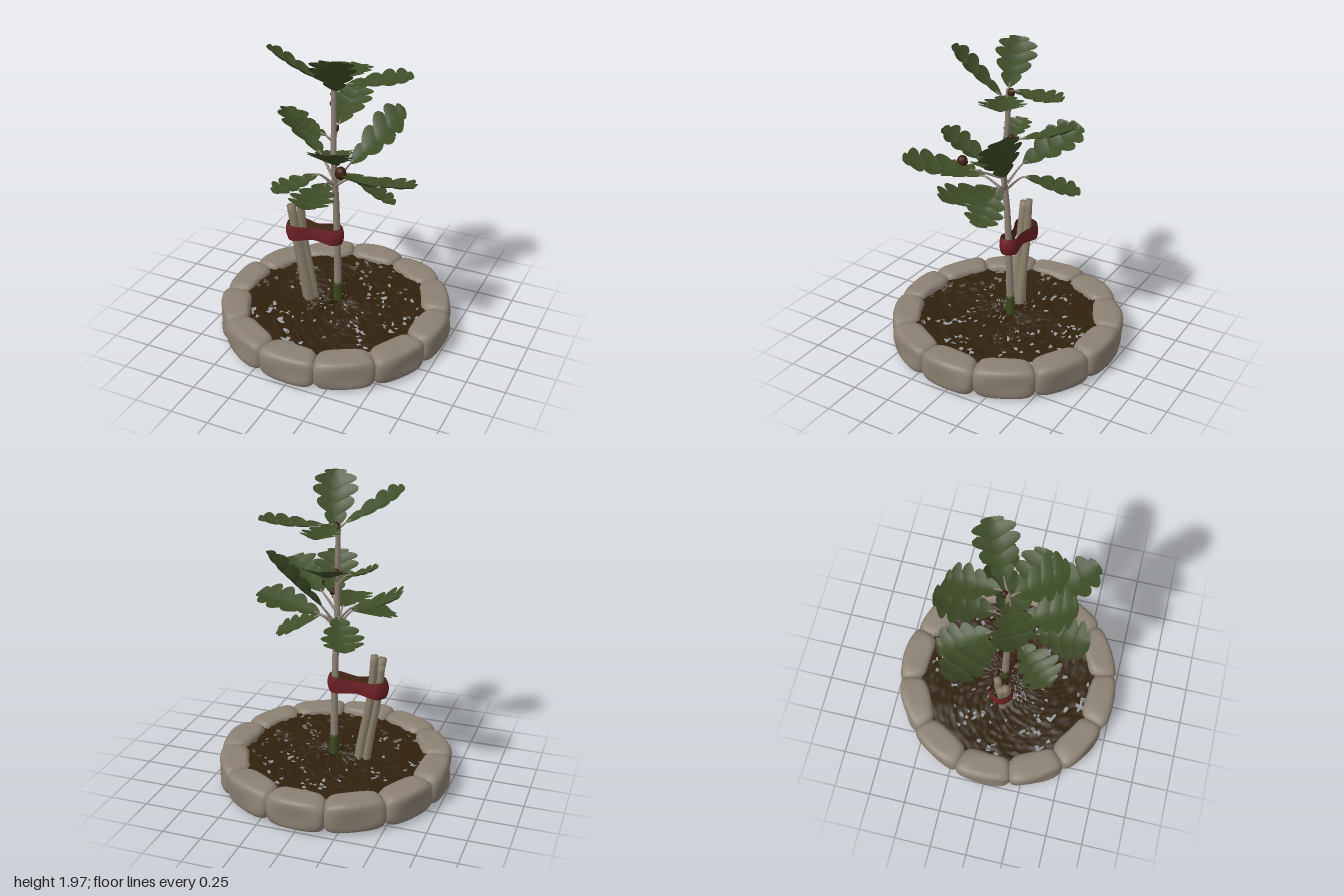
import * as THREE from 'three';
import { mergeVertices } from 'three/addons/utils/BufferGeometryUtils.js';

const mat = (name, color, both = false) => {
  const m = new THREE.MeshStandardMaterial({ color, side: both ? THREE.DoubleSide : THREE.FrontSide });
  m.name = name;
  return m;
};
const V = (p) => new THREE.Vector3(...p);

function seeded(seed) {
  let s = seed;
  return () => (s = (s * 16807) % 2147483647) / 2147483647;
}

// Sheet of quads from a rule (u, v) -> [x, y, z]; some cells can be left out
function sheet(nu, nv, rule, skip = () => false) {
  const pos = [], idx = [];
  for (let i = 0; i <= nu; i++) for (let j = 0; j <= nv; j++) pos.push(...rule(i / nu, j / nv));
  for (let i = 0; i < nu; i++) for (let j = 0; j < nv; j++) {
    if (skip(i / nu, j / nv)) continue;
    const a = i * (nv + 1) + j, b = a + nv + 1;
    idx.push(a, a + 1, b, b, a + 1, b + 1);
  }
  const g = new THREE.BufferGeometry();
  g.setAttribute('position', new THREE.Float32BufferAttribute(pos, 3));
  g.setIndex(idx);
  const m = mergeVertices(g, 1e-5);
  m.computeVertexNormals();
  return m;
}

// Tapered tube through points, closed at both ends
function limb(points, r0, r1, sides = 8, n = 18) {
  const curve = new THREE.CatmullRomCurve3(points.map(V));
  const g = new THREE.TubeGeometry(curve, n, 1, sides);
  const p = g.attributes.position, v = new THREE.Vector3();
  for (let i = 0; i <= n; i++) {
    const end = i === 0 || i === n;
    const from = curve.getPointAt(i / n);
    const to = curve.getPointAt(i === 0 ? 1 / n : i === n ? 1 - 1 / n : i / n);
    const r = end ? 0 : THREE.MathUtils.lerp(r0, r1, i / n);
    for (let j = 0; j <= sides; j++) {
      const k = i * (sides + 1) + j;
      v.fromBufferAttribute(p, k).sub(from).multiplyScalar(r).add(to);
      p.setXYZ(k, v.x, v.y, v.z);
    }
  }
  g.computeVertexNormals();
  return g;
}

// Leaf along +z with round lobes, broadest past the middle, slightly sagging
function leafGeometry(length, width) {
  return sheet(60, 6, (u, v) => {
    const s = v * 2 - 1, a = Math.abs(s);
    const body = Math.sqrt(Math.max(0, Math.sin(Math.PI * Math.pow(u, 1.4))));
    const lobes = u > 0.89 ? 0.5 + 0.5 * Math.sqrt(Math.min(1, (u - 0.89) * 14)) : 0.5 + 0.5 * Math.sqrt(Math.abs(Math.sin(u * Math.PI * 4.5)));
    const w = width * (body * lobes + 0.02);
    return [
      s * w,
      -0.012 * Math.sin(Math.PI * u) + (0.3 * a - 0.1) * w,
      length * (u + 0.09 * a * Math.sin(Math.PI * u)),
    ];
  });
}

// Stone: rounded wedge filling one slice of the ring
function stoneGeometry(rand) {
  const box = new THREE.BoxGeometry(2, 2, 2, 10, 8, 8);
  box.deleteAttribute('uv');
  box.deleteAttribute('normal');
  const g = mergeVertices(box);
  const p = g.attributes.position;
  const f = rand() * 6, h = 0.098 + rand() * 0.005, tilt = (rand() - 0.5) * 0.02;
  for (let i = 0; i < p.count; i++) {
    const x = p.getX(i), y = p.getY(i), z = p.getZ(i);
    const k = Math.pow(Math.abs(x) ** 5 + Math.abs(y) ** 5 + Math.abs(z) ** 5, -1 / 5);
    const X = x * k, Y = y * k, Z = z * k;
    const bump = 0.007 * Math.sin(3 * X + f) * Math.cos(2.5 * Y + 2 * Z + f);
    const r = 0.66 + Z * 0.098 - (Z > 0 ? 0.025 * X * X : 0) + tilt * X + bump;
    p.setXYZ(i, X * r * Math.tan(Math.PI / 12) * 1.04, 0.122 + Y * h + bump * 0.6, r);
  }
  g.computeVertexNormals();
  return g;
}

export function createModel() {
  const root = new THREE.Group();
  const stone = mat('stone', 0x8b8072), soilMat = mat('soil', 0x30210d, true);
  const bark = mat('bark', 0x8c8074), wood = mat('stake wood', 0x8b806c);
  const moss = mat('moss', 0x3c4a1e), leafMat = mat('leaf', 0x3e4c27, true);
  const red = mat('red strap', 0x6c2026, true), lining = mat('strap lining', 0x4a2c16, true);
  const brown = mat('brown bud', 0x3c1e0f);
  const add = (name, geo, m, parent = root) => {
    const mesh = new THREE.Mesh(geo, m);
    mesh.name = name;
    parent.add(mesh);
    return mesh;
  };
  const group = (name) => {
    const g = new THREE.Group();
    g.name = name;
    root.add(g);
    return g;
  };
  const rand = seeded(4711);

  // Ring of twelve stones
  const ring = group('stoneRing');
  for (let i = 0; i < 12; i++)
    add('stone', stoneGeometry(rand), stone, ring).rotation.y = (i * Math.PI) / 6 - 0.02;

  // Rough mulch with small gaps
  const soil = sheet(32, 120, (u, v) => {
    const a = (v % 1) * Math.PI * 2;
    const inner = u > 0 && v % 1;
    const r = u * 0.61 + (inner && u < 1 ? (rand() - 0.5) * 0.014 : 0);
    const x = r * Math.cos(a), z = r * Math.sin(a);
    const wave = 0.012 * Math.sin(9 * x + 1) * Math.cos(8 * z) + (inner ? (rand() - 0.5) * 0.02 : 0);
    return [x, 0.182 + wave, z];
  }, (u, v) => {
    const a = v * Math.PI * 2, x = u * Math.cos(a), z = u * Math.sin(a);
    const patch = Math.sin(7 * x + 2) * Math.sin(8 * z + 1) + 0.5 * Math.sin(15 * x - 11 * z);
    return rand() < (patch > 0.4 ? 0.17 : 0.025);
  });
  add('soil', soil, soilMat);

  // Trunk with a mossy foot
  const trunk = [[0, 0.0, -0.025], [0.003, 0.4, -0.02], [0, 0.9, 0], [-0.002, 1.25, 0.03],
    [-0.012, 1.5, 0.008], [-0.015, 1.78, 0]];
  add('trunk', limb(trunk, 0.027, 0.016, 10, 40), bark);
  add('mossyFoot', limb([[0, 0, -0.025], [0.003, 0.18, -0.023], [0.003, 0.35, -0.02]], 0.03, 0.029, 9), moss);

  // Split stakes leaning away from the trunk
  const stakes = group('stakes');
  [
    [[-0.16, 0.02, 0.03], [-0.195, 0.3, 0.045], [-0.25, 0.6, 0.05], [-0.305, 0.92, 0.05]],
    [[-0.14, 0.01, 0.0], [-0.18, 0.3, 0.0], [-0.235, 0.6, -0.005], [-0.265, 0.96, -0.01]],
    [[-0.19, 0.03, 0.0], [-0.225, 0.3, 0.015], [-0.275, 0.6, 0.02], [-0.305, 0.88, 0.02]],
  ].forEach((pts, i) => add('stake', limb(pts, 0.034, 0.028 - i * 0.003, 6), wood, stakes));

  // Strap looped round the stakes and the trunk, with a brown inner face
  const loop = new THREE.CatmullRomCurve3([
    [0.04, 0], [0.0, 0.05], [-0.14, 0.045], [-0.28, 0.088], [-0.335, 0.02], [-0.29, -0.055], [-0.14, -0.035], [0, -0.055],
  ].map(([x, z]) => new THREE.Vector3(x, 0, z)), true);
  const strap = (inset) => sheet(64, 6, (u, v) => {
    const p = loop.getPointAt(u % 1), t = loop.getTangentAt(u % 1), s = v * 2 - 1;
    const ends = Math.min(1, Math.abs(p.x + 0.15) / 0.15);
    const swell = 1 + 0.07 * (1 - s * s);
    return [
      -0.15 + (p.x + 0.15) * swell - t.z * inset,
      0.688 + p.x * 0.03 + s * (0.041 + 0.014 * ends),
      p.z * swell + t.x * inset,
    ];
  });
  add('strap', strap(0), red);
  add('strapLining', strap(0.006), lining);

  // Leaves: [height on trunk, leaf base, leaf tip, half width, roll]
  const leaves = group('leaves'), twigs = group('twigs');
  [
    [1.68, [0.01, 1.69, 0.03], [0.11, 1.99, 0.32], 0.14, 0],
    [1.68, [-0.05, 1.73, 0.02], [-0.39, 1.95, 0.14], 0.13, 0.15],
    [1.68, [0.05, 1.72, -0.03], [0.42, 1.77, -0.2], 0.14, 0],
    [1.67, [0, 1.74, -0.04], [0.0, 1.73, -0.37], 0.12, 0],
    [1.36, [-0.02, 1.43, -0.08], [-0.05, 1.56, -0.44], 0.14, 0],
    [1.33, [-0.05, 1.39, 0.03], [-0.26, 1.47, 0.04], 0.09, 0],
    [1.1, [-0.12, 1.22, -0.04], [-0.48, 1.4, -0.26], 0.14, 0.3],
    [1.06, [0.08, 1.2, -0.03], [0.38, 1.57, -0.17], 0.14, 0.5],
    [1.05, [0.11, 1.13, 0.02], [0.56, 1.2, 0.11], 0.14, -0.2],
    [1.15, [0.14, 1.23, 0.15], [0.46, 1.35, 0.46], 0.14, -0.2],
    [1.08, [0.1, 1.13, 0.0], [0.39, 0.99, -0.02], 0.12, -0.2],
    [1.07, [-0.05, 1.17, -0.09], [-0.2, 1.07, -0.41], 0.13, 0],
    [1.06, [0.01, 1.14, 0.16], [0.03, 1.13, 0.51], 0.14, 0],
    [1.06, [-0.08, 1.15, 0.09], [-0.27, 1.09, 0.33], 0.14, 0.15],
    [1.18, [0.04, 1.24, 0.08], [0.12, 1.45, 0.4], 0.14, 0],
  ].forEach(([h, base, tip, width, roll]) => {
    const dir = V(tip).sub(V(base));
    const leaf = add('leaf', leafGeometry(dir.length(), width), leafMat, leaves);
    const z = dir.normalize();
    const x = new THREE.Vector3(0, 1, 0).cross(z).normalize();
    leaf.quaternion.setFromRotationMatrix(new THREE.Matrix4().makeBasis(x, z.clone().cross(x), z));
    leaf.rotateZ(roll);
    leaf.position.copy(V(base));
    const start = [-0.006, h, h > 1.3 ? 0.005 : 0.02];
    const rib = V(base).addScaledVector(z, 0.06).toArray();
    add('twig', limb([start, base, rib], h < 1.3 ? 0.011 : 0.008, 0.004, 6, 10), bark, twigs);
  });

  // Brown buds at the twig joints
  const buds = group('buds');
  [[0.14, 1.27, 0.24, 0.035], [-0.01, 1.72, -0.02, 0.024], [-0.01, 1.43, -0.02, 0.02], [0.05, 1.26, 0.09, 0.02]]
    .forEach(([x, y, z, r]) => {
      const bud = add('bud', new THREE.SphereGeometry(r, 10, 8), brown, buds);
      bud.position.set(x, y, z);
      bud.scale.y = 1.2;
    });

  return root;
}
